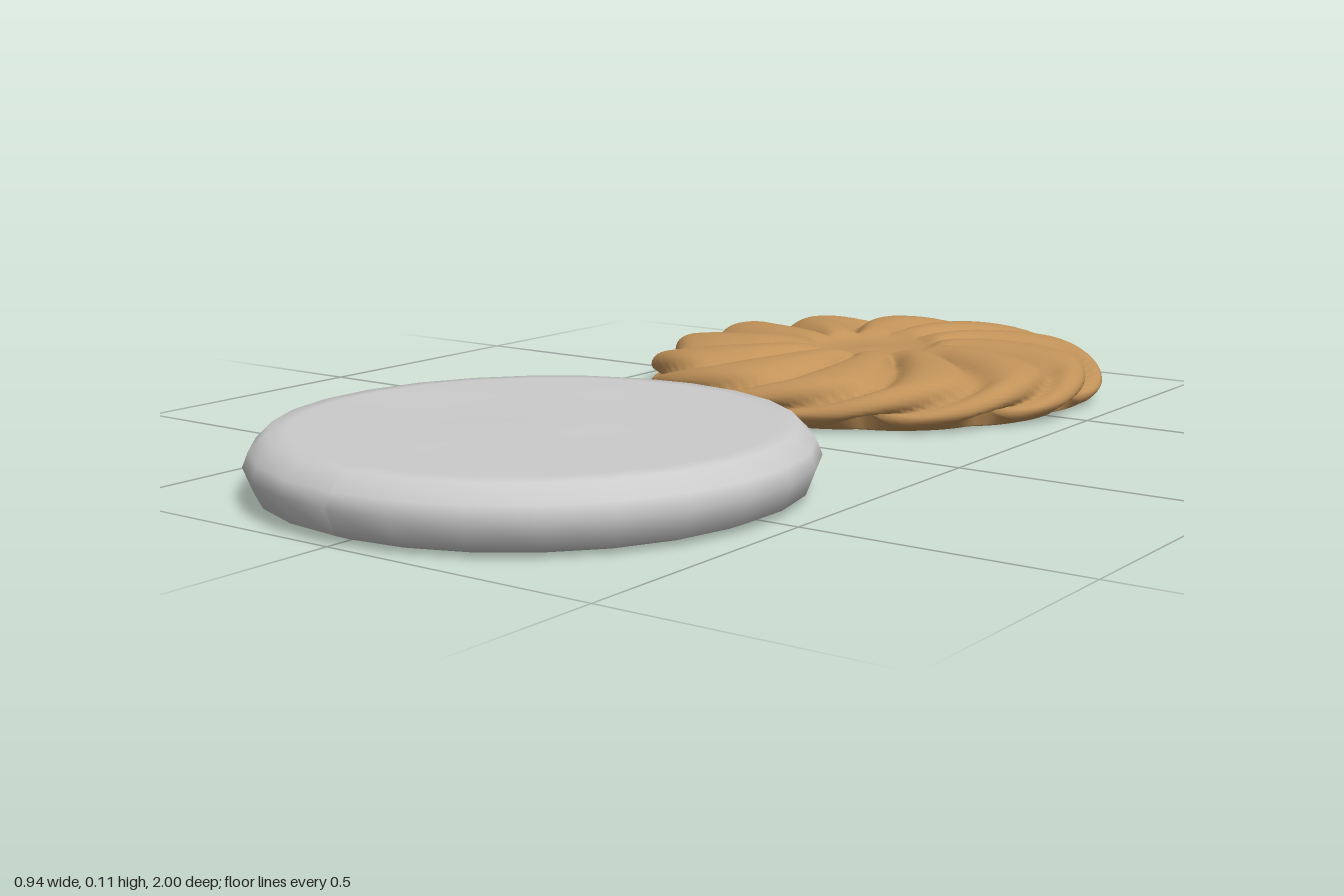
import * as THREE from 'three';
import { mergeVertices } from 'three/addons/utils/BufferGeometryUtils.js';

const FLUTES = 12;
const v2 = ([x, y]) => new THREE.Vector2(x, y);

// Plain rounded disc with a faintly uneven top
function plainBiscuit() {
  const profile = [[0, 0.004], [0.25, 0.004], [0.41, 0.005], [0.43, 0.007], [0.455, 0.017],
    [0.472, 0.06], [0.462, 0.085], [0.435, 0.112], [0.4, 0.114], [0.25, 0.111], [0.12, 0.112], [0, 0.111]];
  const geo = new THREE.LatheGeometry(profile.map(v2), 26);
  const p = geo.attributes.position;
  for (let i = 0; i < p.count; i++) {
    const x = p.getX(i), z = p.getZ(i), r = Math.hypot(x, z);
    if (p.getY(i) > 0.1 && r < 0.39) p.setY(i, p.getY(i) + 0.002 * Math.sin(13 * x + 1) * Math.cos(11 * z));
  }
  geo.computeVertexNormals();
  return geo;
}

// Disc with twelve swirling grooves running from the hub over the rim
function swirlBiscuit() {
  const edge = new THREE.CatmullRomCurve3([[0.425, 0.006], [0.45, 0.018], [0.464, 0.038], [0.455, 0.065],
    [0.42, 0.092], [0.36, 0.106], [0.27, 0.113], [0.19, 0.114], [0.14, 0.108], [0.11, 0.094], [0.06, 0.09], [0, 0.094]]
    .map(([x, y]) => new THREE.Vector3(x, y, 0)));
  const profile = [[0, 0.004], [0.3, 0.004], [0.418, 0.004]].map(v2);
  for (const q of edge.getPoints(44)) profile.push(new THREE.Vector2(Math.max(q.x, 0), q.y));

  const geo = new THREE.LatheGeometry(profile, 240);
  const p = geo.attributes.position, n = geo.attributes.normal;
  for (let i = 0; i < p.count; i++) {
    const x = p.getX(i), y = p.getY(i), z = p.getZ(i), r = Math.hypot(x, z);
    const twist = 0.35 * (r / 0.46) ** 2 + 6 * Math.max(0, 0.1 - y) * THREE.MathUtils.smoothstep(r, 0.3, 0.42);
    const phase = Math.atan2(x, z) + twist - Math.PI / 12 - 0.04;
    const groove = (1 - Math.abs(Math.sin(phase * FLUTES / 2))) ** 1.4;
    const fade = THREE.MathUtils.smoothstep(r, 0.11, 0.2);
    if (y < 0.01) { // scalloped foot stays flat
      const k = r > 0.4 ? 1 - 0.035 * groove : 1;
      p.setXYZ(i, x * k, y, z * k);
    } else {
      const d = 0.034 * groove * fade;
      p.setXYZ(i, x - n.getX(i) * d, Math.max(0.008, y - n.getY(i) * d), z - n.getZ(i) * d);
    }
  }
  geo.deleteAttribute('normal');
  geo.deleteAttribute('uv');
  const welded = mergeVertices(geo, 1e-5);
  welded.computeVertexNormals();
  return welded;
}

export function createModel() {
  const group = new THREE.Group();
  const add = (name, geometry, color, z) => {
    const mesh = new THREE.Mesh(geometry, new THREE.MeshStandardMaterial({ color }));
    mesh.name = name;
    mesh.position.z = z;
    group.add(mesh);
  };
  add('plainBiscuit', plainBiscuit(), 0xcccccc, 0.528);
  add('swirlBiscuit', swirlBiscuit(), 0xc2935a, -0.536);
  return group;
}
